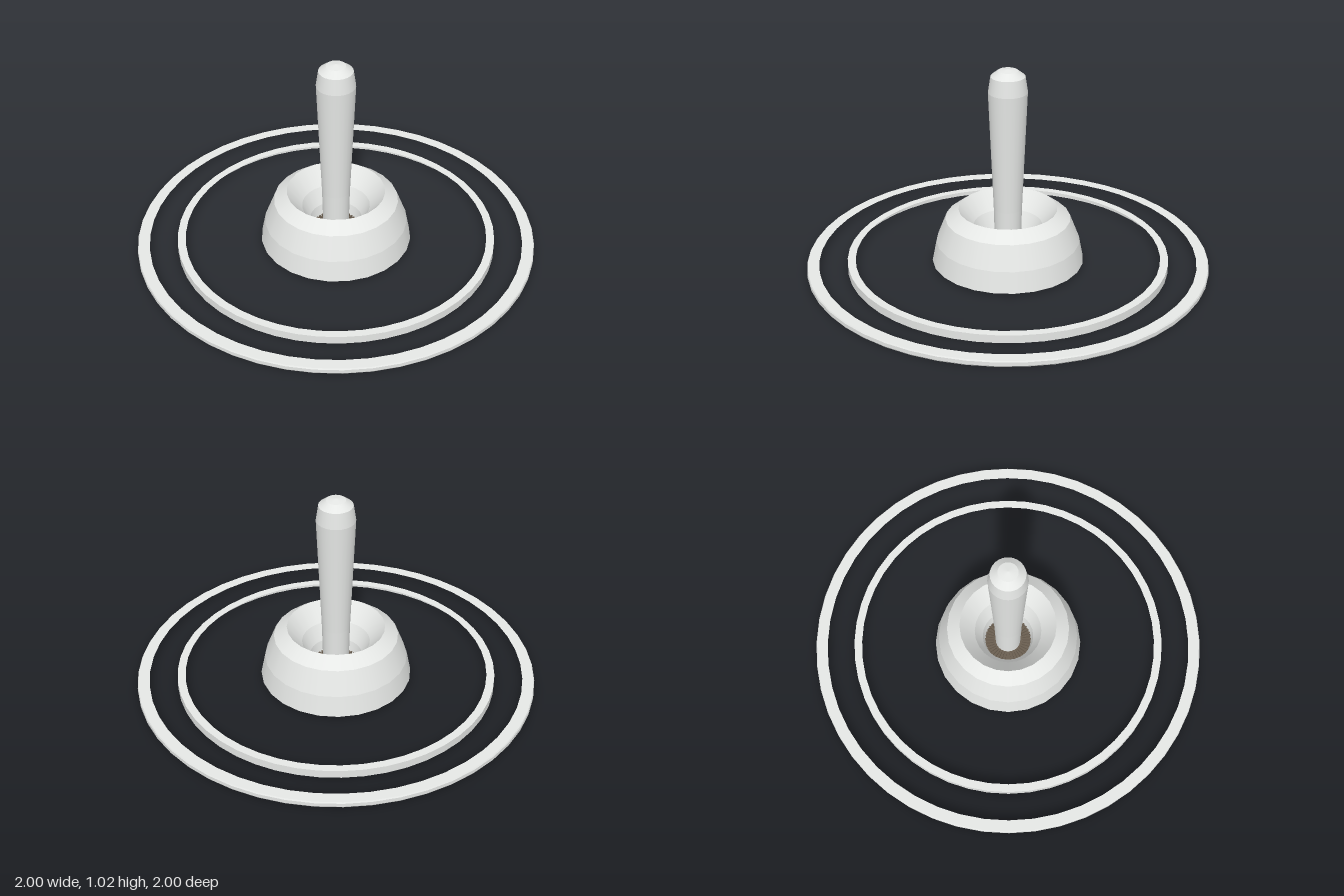
import * as THREE from 'three';
import { mergeGeometries } from 'three/addons/utils/BufferGeometryUtils.js';

export function createModel() {
  const group = new THREE.Group();
  const pale = new THREE.MeshStandardMaterial({ color: 0xe5e7e5, side: THREE.DoubleSide });
  const dark = new THREE.MeshStandardMaterial({ color: 0x6a5e50, side: THREE.DoubleSide });
  pale.name = 'paleGrey';
  dark.name = 'darkBrown';

  // Revolve [radius, height] pairs: smooth around the axis, sharp between bands
  function turned(name, profile, sides, material = pale) {
    const bands = [];
    for (let i = 1; i < profile.length; i++) {
      const ends = [profile[i - 1], profile[i]].map(([r, y]) => new THREE.Vector2(r, y));
      bands.push(new THREE.LatheGeometry(ends, sides));
    }
    const mesh = new THREE.Mesh(mergeGeometries(bands), material);
    mesh.name = name;
    group.add(mesh);
  }

  // Base rings: a top face and an outer wall, open underneath
  turned('outerRing', [
    [0.996, 0], [1, 0.006], [1, 0.024], [0.996, 0.03], [0.94, 0.03],
  ], 48);
  turned('innerRing', [[0.8, 0], [0.8, 0.04], [0.76, 0.04]], 48);

  // Open dome whose top folds inwards into a funnel
  turned('dome', [[0.378, 0.015], [0.357, 0.12], [0.31, 0.24], [0.245, 0.29]], 24);
  turned('funnel', [[0.117, 0.06], [0.13, 0.12], [0.17, 0.2], [0.245, 0.29]], 24);

  // Open flange at the lower end of the funnel, with a dark plug inside it
  turned('flange', [[0.14, 0], [0.14, 0.03], [0.117, 0.06]], 24);
  turned('bottomPlug', [[0, 0.03], [0.102, 0.03], [0.117, 0.055], [0, 0.055]], 24, dark);

  // Fine knurling around the foot of the handle
  const teeth = 40;
  const toothGeometry = new THREE.BoxGeometry(0.045, 0.02, 0.008);
  const knurling = new THREE.Group();
  knurling.name = 'knurledCollar';
  for (let i = 0; i < teeth; i++) {
    const angle = (i / teeth) * Math.PI * 2;
    const tooth = new THREE.Mesh(toothGeometry, dark);
    tooth.name = 'tooth';
    tooth.position.set(Math.cos(angle) * 0.096, 0.06, -Math.sin(angle) * 0.096);
    tooth.rotation.y = angle;
    knurling.add(tooth);
  }
  group.add(knurling);

  // Flared handle with a rounded cap
  turned('handle', [[0.064, 0.05], [0.07, 0.29], [0.096, 0.9], [0.084, 0.98]], 24);
  turned('handleCap', [[0.084, 0.98], [0.048, 1.008], [0, 1.016]], 24);

  return group;
}
